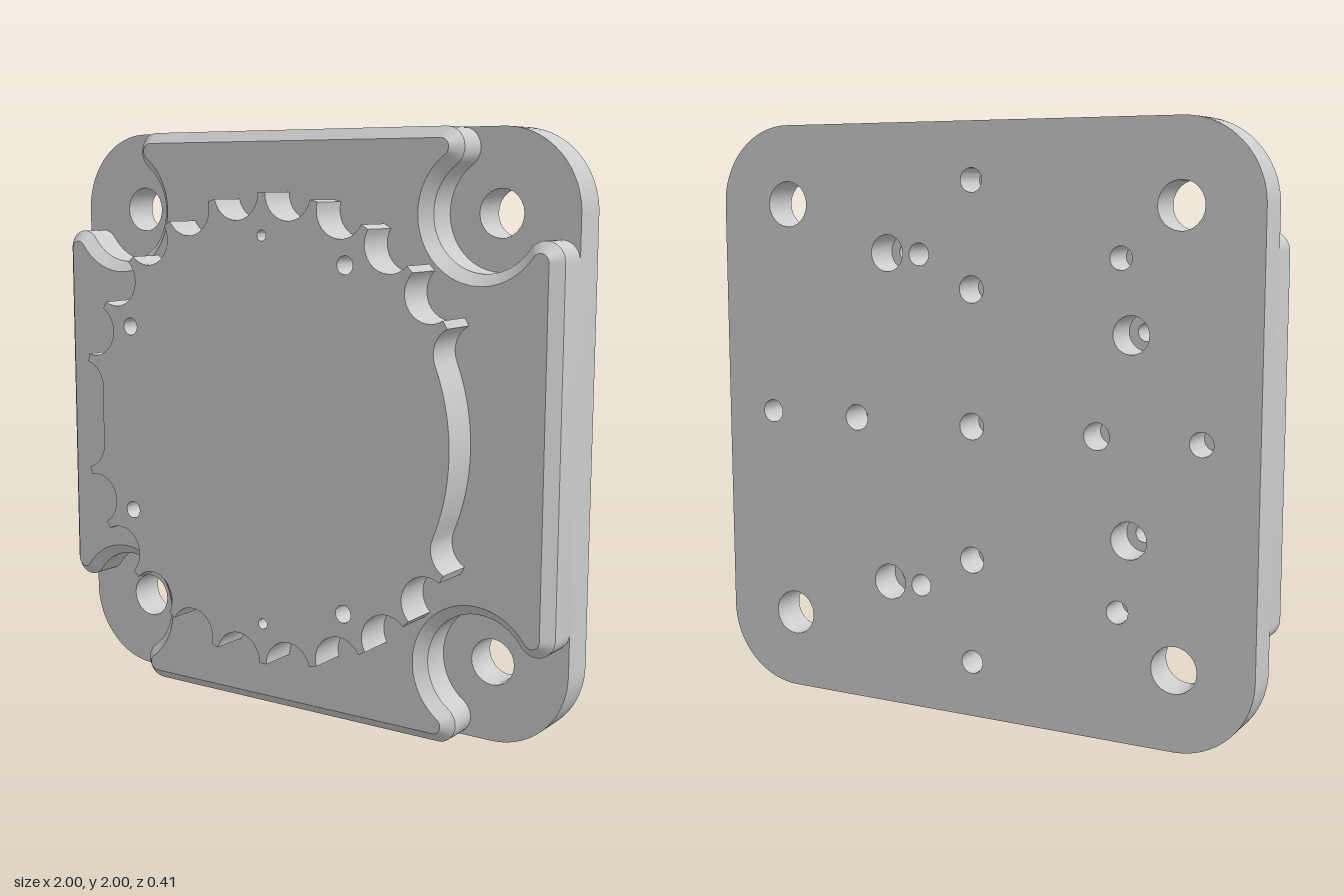
import * as THREE from 'three';
import { toCreasedNormals } from 'three/addons/utils/BufferGeometryUtils.js';

const RAD = Math.PI / 180;
const BACK = -0.205, STEP = -0.075, CHAMFER = 0.03, FACE = 0.067, FRONT = 0.205;
const INSET = FACE - CHAMFER;

// Points along an arc, angles in degrees
function arc(cx, cy, r, from, to, n) {
  return Array.from({ length: n + 1 }, (_, i) => {
    const a = (from + (to - from) * i / n) * RAD;
    return new THREE.Vector2(cx + r * Math.cos(a), cy + r * Math.sin(a));
  });
}

// Repeat one corner's points around the four corners
function fourCorners(points) {
  const origin = new THREE.Vector2();
  return [0, 1, 2, 3].flatMap(k => points.map(p => p.clone().rotateAround(origin, k * Math.PI / 2)));
}

// Base: square with round corners
const baseOutline = () => fourCorners(arc(0.73, 0.73, 0.27, 0, 90, 20));

// Raised body: every corner has a round pocket between two round lobes
function bodyOutline(inset) {
  const near = 0.587, far = 0.935, lobe = 0.065 - inset, pocket = 0.185 + inset;
  const tilt = Math.atan2(0.73 - near, far - 0.73) / RAD;
  return fourCorners([
    ...arc(far, near, lobe, 0, 180 - tilt, 14),
    ...arc(0.73, 0.73, pocket, -tilt, -270 + tilt, 32).slice(1),
    ...arc(near, far, lobe, -90 + tilt, 90, 14).slice(1)
  ]);
}

// Boss: scalloped rim, a flat on one side and a plain arc on the other
function bossOutline() {
  const points = [];
  for (let a = 22.5; a < 340; a += 15) {
    const start = a === 22.5 || a === 187.5 ? 0 : -84;
    const end = a === 172.5 || a === 337.5 ? 0 : 84;
    const n = (end - start) / 12;
    for (let i = 0; i <= n; i++) {
      const t = (start + 12 * i) * RAD;
      points.push(new THREE.Vector2(0.8 - 0.09 * Math.cos(t), 0.09 * Math.sin(t))
        .rotateAround(new THREE.Vector2(), a * RAD));
    }
  }
  return points.concat(arc(0, 0, 0.71, -22.5, 22.5, 20).slice(1, -1));
}

// Shape with round holes given as [x, y, radius], y from the centre
function shapeWithHoles(points, holes) {
  const shape = new THREE.Shape(points);
  for (const [x, y, r] of holes) {
    shape.holes.push(new THREE.Path(arc(x, y, r, 0, -345, 23)));
  }
  return shape;
}

function slab(points, holes, z0, z1) {
  const geometry = new THREE.ExtrudeGeometry(shapeWithHoles(points, holes),
    { depth: z1 - z0, bevelEnabled: false });
  geometry.translate(0, 0, z0);
  return toCreasedNormals(geometry, 0.5);
}

// Sloped band between two outlines
function band(lower, upper, z0, z1) {
  const n = lower.length, positions = [], index = [];
  for (const p of lower) positions.push(p.x, p.y, z0);
  for (const p of upper) positions.push(p.x, p.y, z1);
  for (let i = 0; i < n; i++) {
    const j = (i + 1) % n;
    index.push(i, j, n + j, i, n + j, n + i);
  }
  const geometry = new THREE.BufferGeometry();
  geometry.setAttribute('position', new THREE.Float32BufferAttribute(positions, 3));
  geometry.setIndex(index);
  geometry.computeVertexNormals();
  return geometry;
}

export function createModel() {
  const group = new THREE.Group();
  group.name = 'mountingPlate';
  const material = new THREE.MeshStandardMaterial({ color: 0xcccccc });
  const add = (name, geometry) => {
    const mesh = new THREE.Mesh(geometry, material);
    mesh.name = name;
    mesh.position.y = 1;
    group.add(mesh);
  };
  const mirrorY = list => list.flatMap(([x, y, r]) => [[x, y, r], [x, -y, r]]);

  // Hole patterns
  const cornerHoles = mirrorY([[0.73, 0.73, 0.078], [-0.73, 0.73, 0.078]]);
  const screwHoles = mirrorY([[0.325, 0.568, 0.03], [-0.57, 0.328, 0.03]]);
  const counterbores = screwHoles.map(([x, y]) => [x, y, 0.062]);
  const pinHoles = mirrorY([[0, 0.655, 0.018]]);
  const backHoles = [
    ...mirrorY([[0, 0.81, 0.04], [0, 0.455, 0.045], [0.2, 0.566, 0.038], [-0.533, 0.567, 0.038]]),
    [0, 0, 0.045], [0.455, 0, 0.045], [-0.455, 0, 0.045], [0.81, 0, 0.04], [-0.81, 0, 0.04]
  ];

  // Base plate with the blind holes open to the back
  add('basePlate', slab(baseOutline(), [...cornerHoles, ...counterbores, ...backHoles], BACK, STEP));

  // Raised body with a chamfered front edge
  const outer = bodyOutline(0), inner = bodyOutline(INSET);
  add('raisedBody', slab(outer, screwHoles, STEP, CHAMFER));
  add('bodyChamfer', band(outer, inner, CHAMFER, FACE));
  const face = new THREE.ShapeGeometry(shapeWithHoles(inner, screwHoles));
  face.translate(0, 0, FACE);
  add('bodyFace', face);

  // Scalloped boss on the front
  add('scallopedBoss', slab(bossOutline(), [...screwHoles, ...pinHoles], CHAMFER, FRONT));

  return group;
}
